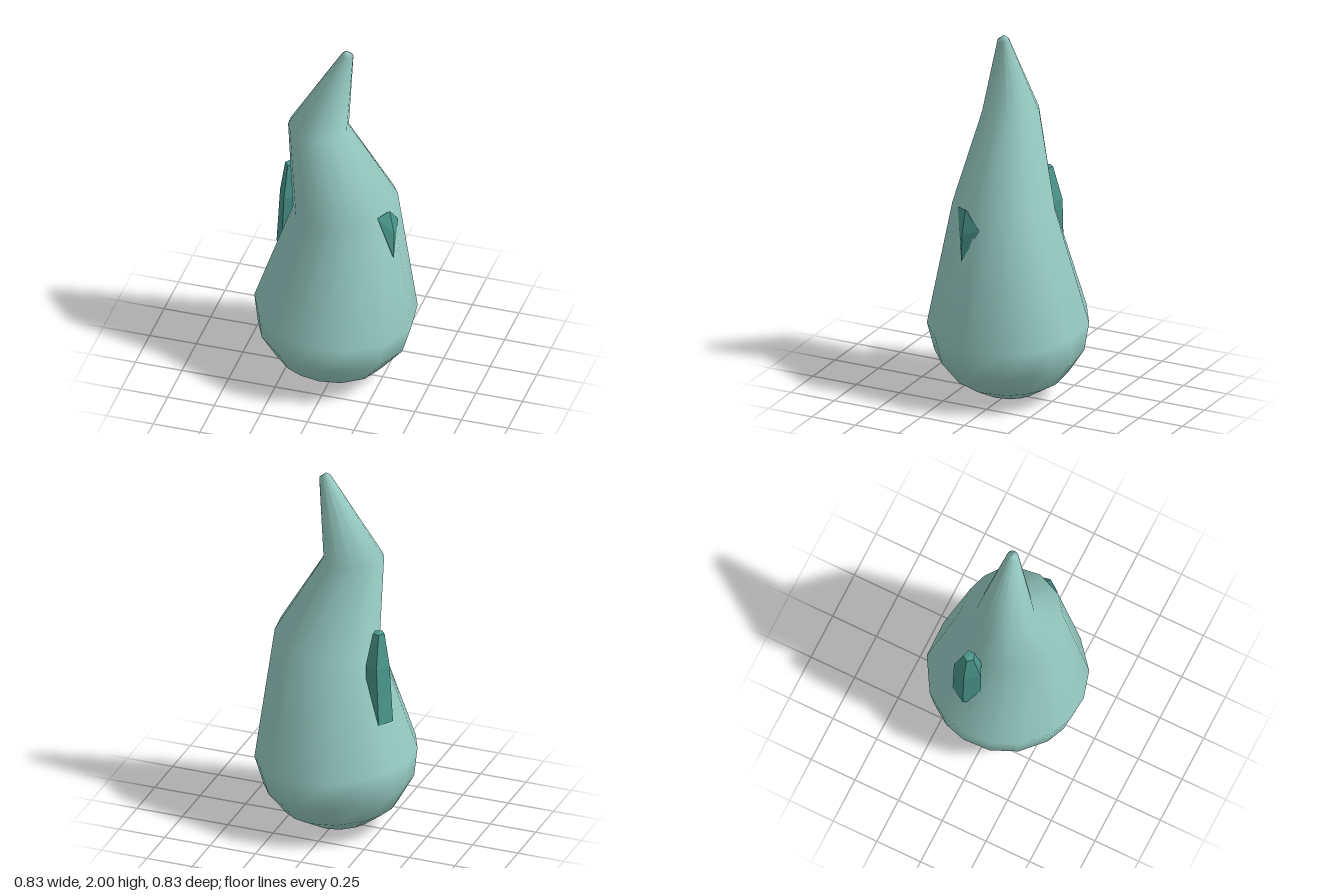
import * as THREE from 'three';
import { ConvexGeometry } from 'three/addons/geometries/ConvexGeometry.js';

// Joins rings [cx, cy, cz, rx, rz, slope] from bottom to top; slope tilts a ring along x.
function loft(rings, degrees) {
  const n = degrees.length;
  const positions = [];
  const index = [];
  for (const [cx, cy, cz, rx, rz, slope] of rings) {
    for (const d of degrees) {
      const a = THREE.MathUtils.degToRad(d);
      const dx = rx * Math.cos(a);
      positions.push(cx + dx, cy + slope * dx, cz + rz * Math.sin(a));
    }
  }
  for (let i = 0; i < rings.length - 1; i++) {
    for (let j = 0; j < n; j++) {
      const a = i * n + j;
      const b = i * n + (j + 1) % n;
      index.push(a, a + n, b, b, a + n, b + n);
    }
  }
  const geometry = new THREE.BufferGeometry();
  geometry.setAttribute('position', new THREE.Float32BufferAttribute(positions, 3));
  geometry.setIndex(index);
  geometry.computeVertexNormals();
  return geometry;
}

export function createModel() {
  const group = new THREE.Group();
  const paleTeal = new THREE.MeshStandardMaterial({ color: 0x98cec4 });
  const deepTeal = new THREE.MeshStandardMaterial({ color: 0x4a978c });
  deepTeal.flatShading = true;

  const add = (name, geometry, material) => {
    const mesh = new THREE.Mesh(geometry, material);
    mesh.name = name;
    group.add(mesh);
  };

  // Body: slightly tilted rounded base, then a bent, tapering horn
  const rings = [];
  for (let k = 4; k >= 0; k--) {
    const phi = (k * Math.PI) / 8;
    const r = 0.42 * Math.cos(phi);
    rings.push([-0.04 * Math.sin(phi), 0.41 * (1 - Math.sin(phi)), 0, r, r, -0.095]);
  }
  rings.push(
    [0.05, 1.06, 0, 0.27, 0.265, 0.15],
    [-0.085, 1.525, 0.03, 0.157, 0.147, -0.03],
    [0.062, 1.975, 0, 0.03, 0.03, -0.2],
    [0.055, 2.0, 0, 0, 0, 0],
  );
  const bodyAngles = [7, 37, 63, 85, 104, 120, 144, 166, 188, 206, 225, 254, 282, 301, 317, 338];
  add('bentHornBody', loft(rings, bodyAngles), paleTeal);

  // Five-sided spike growing up beside the body
  add('sideSpike', loft([
    [-0.275, 0.68, -0.085, 0.07, 0.085, 0],
    [-0.265, 1.0, -0.088, 0.062, 0.08, 0],
    [-0.267, 1.175, -0.085, 0.032, 0.03, 0],
    [-0.267, 1.18, -0.085, 0, 0, 0],
  ], [35, 107, 179, 251, 323]), deepTeal);

  // Mostly buried shard on the opposite flank
  add('buriedShard', new ConvexGeometry([
    [0.27, 1.1, 0.155], [0.315, 1.11, 0.09], [0.333, 1.01, 0],
    [0.34, 0.83, 0.1], [0.34, 0.98, 0.095], [0.2, 1.0, 0.05],
  ].map((p) => new THREE.Vector3(...p))), deepTeal);

  return group;
}
